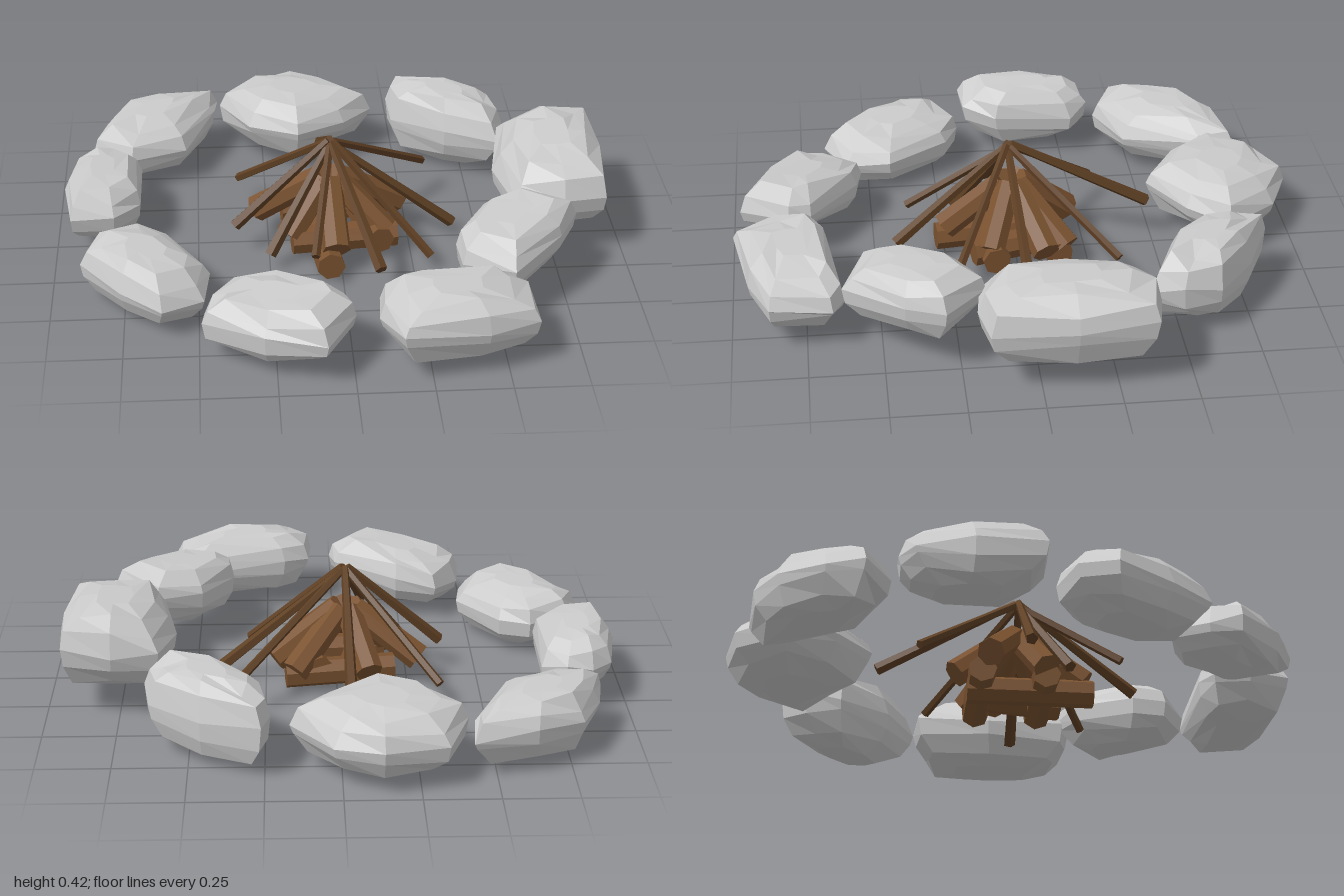
import * as THREE from 'three';

const stoneMat = new THREE.MeshStandardMaterial({ color: 0xcccccc, flatShading: true });
const logMat = new THREE.MeshStandardMaterial({ color: 0x7a5230, flatShading: true });
const stickMat = new THREE.MeshStandardMaterial({ color: 0x5f4024, flatShading: true });

// Small seeded generator for the uneven facets
let seed = 7;
const rand = () => ((seed = (seed * 16807) % 2147483647) / 2147483647) - 0.5;

// Boulder profile from the underside to the crown: [scale of outline, height share]
const PROFILE = [[0, 0.02], [0.45, 0.03], [0.78, 0.16], [0.96, 0.38], [1, 0.58], [0.9, 0.8], [0.66, 0.94], [0.32, 1], [0, 1]];

// Boulder: its plan outline (x, z pairs, clockwise from above) lofted through the profile, then tilted
function boulder(name, low, high, tiltX, tiltZ, outline) {
  const n = outline.length / 2;
  let cx = 0, cz = 0;
  for (let i = 0; i < n; i++) {
    cx += outline[2 * i] / n;
    cz += outline[2 * i + 1] / n;
  }
  const pos = [], index = [];
  PROFILE.forEach(([scale, share]) => {
    for (let i = 0; i < n; i++) {
      const wobble = scale > 0 && scale < 0.95 ? 1 + rand() * 0.1 : 1;
      const dx = (outline[2 * i] - cx) * scale * wobble;
      const dz = (outline[2 * i + 1] - cz) * scale * wobble;
      const bump = scale > 0.6 ? rand() * 0.035 : 0;
      const y = low + (high - low) * share + bump + dx * tiltX + dz * tiltZ;
      pos.push(cx + dx, Math.max(y, 0), cz + dz);
    }
  });
  const last = PROFILE.length - 2;
  for (let r = 0; r <= last; r++) {
    for (let i = 0; i < n; i++) {
      const a = r * n + i, b = r * n + (i + 1) % n, c = a + n, d = b + n;
      if (r < last) index.push(a, c, d);
      else index.push(a, c, b);
      if (r > 0 && r < last) index.push(a, d, b);
    }
  }
  const geo = new THREE.BufferGeometry();
  geo.setAttribute('position', new THREE.Float32BufferAttribute(pos, 3));
  geo.setIndex(index);
  geo.computeVertexNormals();
  const mesh = new THREE.Mesh(geo, stoneMat);
  mesh.name = name;
  return mesh;
}

// Straight piece of wood from one point to another
function timber(name, from, to, rFrom, rTo, sides, material) {
  const a = new THREE.Vector3(...from), b = new THREE.Vector3(...to);
  const dir = b.clone().sub(a);
  const mesh = new THREE.Mesh(new THREE.CylinderGeometry(rTo, rFrom, dir.length(), sides), material);
  mesh.position.copy(a).add(b).multiplyScalar(0.5);
  mesh.quaternion.setFromUnitVectors(new THREE.Vector3(0, 1, 0), dir.normalize());
  mesh.name = name;
  return mesh;
}

export function createModel() {
  const model = new THREE.Group();
  model.name = 'campfire';

  // Ring of boulders
  const ring = new THREE.Group();
  ring.name = 'stoneRing';
  ring.add(
    boulder('backStone', 0.04, 0.27, 0, 0.06,
      [-0.13, -1, 0.03, -0.93, 0.17, -0.75, 0.06, -0.61, -0.12, -0.49, -0.3, -0.59, -0.41, -0.76, -0.34, -0.94]),
    boulder('backLeftStone', 0.02, 0.31, 0, 0.03,
      [0.26, -0.85, 0.46, -0.76, 0.63, -0.63, 0.65, -0.5, 0.62, -0.39, 0.43, -0.47, 0.24, -0.63, 0.23, -0.76]),
    boulder('leftStone', 0.08, 0.37, 0.06, -0.03,
      [0.77, -0.4, 0.94, -0.37, 0.96, -0.11, 0.93, 0.17, 0.78, 0.2, 0.61, 0.18, 0.56, -0.1, 0.61, -0.37]),
    boulder('frontLeftSideStone', 0.1, 0.32, 0.06, -0.05,
      [0.64, 0.16, 0.8, 0.3, 0.73, 0.43, 0.55, 0.63, 0.38, 0.56, 0.37, 0.44, 0.48, 0.23]),
    boulder('frontLeftStone', 0.06, 0.285, -0.06, 0,
      [0.18, 0.67, 0.53, 0.62, 0.6, 0.66, 0.6, 0.87, 0.43, 0.94, 0.15, 0.99, 0.08, 0.85, 0.09, 0.72]),
    boulder('frontRightStone', 0.05, 0.25, 0.12, 0,
      [-0.39, 0.53, -0.24, 0.55, -0.01, 0.72, 0.01, 0.8, -0.09, 0.97, -0.29, 0.91, -0.49, 0.77, -0.48, 0.66]),
    boulder('frontRightSideStone', 0.01, 0.23, -0.04, 0,
      [-0.71, 0.15, -0.6, 0.2, -0.46, 0.42, -0.48, 0.58, -0.62, 0.66, -0.76, 0.53, -0.9, 0.35, -0.86, 0.22]),
    boulder('rightStone', 0.05, 0.27, -0.08, 0,
      [-0.78, -0.36, -0.7, -0.29, -0.7, 0, -0.79, 0.12, -0.94, 0.13, -0.97, -0.1, -0.94, -0.29, -0.87, -0.35]),
    boulder('backRightStone', 0.03, 0.25, 0, 0,
      [-0.42, -0.88, -0.43, -0.75, -0.54, -0.47, -0.74, -0.38, -0.88, -0.45, -0.86, -0.58, -0.79, -0.74, -0.63, -0.84]),
  );

  const wood = new THREE.Group();
  wood.name = 'woodPile';

  // Logs crossed on the ground
  [
    [[-0.04, 0.06, 0.28], [-0.09, 0.06, -0.16]],
    [[-0.17, 0.08, 0.12], [0.2, 0.08, 0.08]],
    [[-0.2, 0.09, -0.1], [0.18, 0.08, -0.14]],
    [[0.14, 0.09, 0.16], [0.06, 0.1, -0.16]],
  ].forEach(([a, b]) => wood.add(timber('groundLog', a, b, 0.05, 0.05, 7, logMat)));

  // Thick logs leaning inward
  [[-0.11, 0.11, -0.2], [-0.29, 0.11, -0.07], [0.15, 0.1, -0.17], [0.22, 0.12, -0.09],
    [0.16, 0.1, 0.1], [-0.02, 0.11, 0.25], [-0.18, 0.1, 0.12]].forEach((foot) => {
    const top = [-0.03 + foot[0] * 0.12, 0.27, 0.01 + foot[2] * 0.12];
    wood.add(timber('leaningLog', foot, top, 0.05, 0.045, 7, logMat));
  });

  // Thin sticks meeting at the peak
  [[-0.04, 0.16, -0.48], [0.33, 0.15, -0.33], [0.41, 0.06, -0.02], [0.31, 0.07, 0.24], [0.12, 0.13, 0.43],
    [-0.1, 0.16, 0.38], [-0.37, 0.12, 0.07], [-0.35, 0.11, -0.31], [-0.25, 0.07, 0.2]].forEach((foot, i) => {
    const top = [-0.03 + foot[0] * 0.02, 0.42 - (i % 3) * 0.008, 0.02 + foot[2] * 0.02];
    wood.add(timber('thinStick', foot, top, i % 2 ? 0.016 : 0.022, 0.014, 5, stickMat));
  });

  model.add(ring, wood);
  return model;
}
